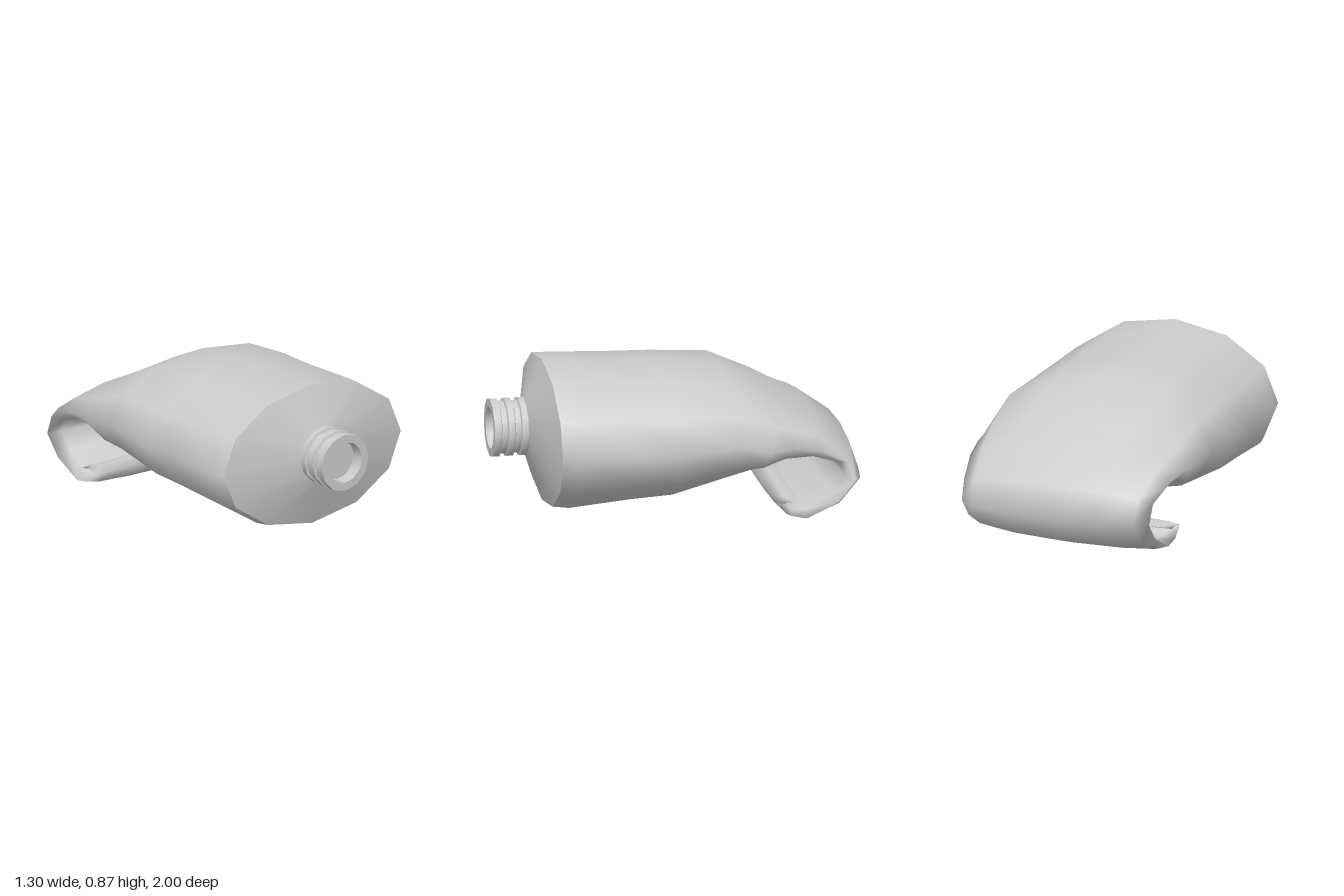
import * as THREE from 'three';
import { toCreasedNormals } from 'three/addons/utils/BufferGeometryUtils.js';

const SIDES = 12;

// Skin a run of oval rings, each [topZ, topY, bottomZ, bottomY, halfWidth]
function skin(rings) {
  const positions = [], index = [];
  rings.forEach(([tz, ty, bz, by, w], i) => {
    for (let j = 0; j < SIDES; j++) {
      const a = (j / SIDES) * Math.PI * 2, s = Math.sin(a);
      positions.push(
        w * Math.cos(a),
        (ty + by) / 2 + ((ty - by) / 2) * s,
        (tz + bz) / 2 + ((tz - bz) / 2) * s
      );
      if (i === rings.length - 1) continue;
      const k = (j + 1) % SIDES;
      const p = i * SIDES + j, q = i * SIDES + k;
      index.push(p, p + SIDES, q, q, p + SIDES, q + SIDES);
    }
  });
  const geometry = new THREE.BufferGeometry();
  geometry.setAttribute('position', new THREE.Float32BufferAttribute(positions, 3));
  geometry.setIndex(index);
  geometry.computeVertexNormals();
  return geometry;
}

export function createModel() {
  const group = new THREE.Group();
  const material = new THREE.MeshStandardMaterial({ color: 0xcccccc, side: THREE.DoubleSide });
  const add = (name, geometry) => {
    const mesh = new THREE.Mesh(geometry, material);
    mesh.name = name;
    group.add(mesh);
    return mesh;
  };

  // Squeezed tube body, flattening towards the back and rolling up underneath
  const front = [0.71, 0.87, 0.71, 0.07, 0.61];
  add('tubeBody', skin([
    front,
    [0.62, 0.865, 0.62, 0.06, 0.63],
    [0.3, 0.845, 0.28, 0.095, 0.64],
    [0.06, 0.835, 0.05, 0.11, 0.645],
    [-0.26, 0.805, -0.25, 0.2, 0.65],
    [-0.51, 0.685, -0.38, 0.245, 0.64],
    [-0.6, 0.625, -0.51, 0.315, 0.62],
    [-0.755, 0.55, -0.67, 0.34, 0.595],
    [-0.94, 0.412, -0.81, 0.315, 0.56],
    [-0.998, 0.235, -0.84, 0.27, 0.555],
    [-0.866, 0.08, -0.785, 0.2, 0.555],
    [-0.66, 0.005, -0.65, 0.105, 0.555],
    [-0.54, 0.05, -0.59, 0.092, 0.555],
    [-0.465, 0.14, -0.53, 0.122, 0.555],
    [-0.54, 0.163, -0.54, 0.135, 0.555],
    [-0.61, 0.145, -0.61, 0.135, 0.555],
    [-0.61, 0.14, -0.61, 0.14, 0.555], // closes the tip
  ]));

  // Cone from the neck out to the body
  add('shoulder', skin([[0.81, 0.642, 0.81, 0.352, 0.145], front]));

  // Ridged neck with a recessed opening
  const ridge = 0.162, groove = 0.147;
  const profile = [
    [groove, 0.8], [ridge, 0.812], [ridge, 0.845], [groove, 0.85], [groove, 0.88],
    [ridge, 0.885], [ridge, 0.92], [groove, 0.925], [groove, 0.955],
    [ridge, 0.96], [ridge, 1], [0.116, 1], [0.113, 0.93], [0, 0.93],
  ].map(([r, z]) => new THREE.Vector2(r, z));
  const neck = new THREE.LatheGeometry(profile, SIDES).rotateX(Math.PI / 2);
  add('neck', toCreasedNormals(neck, Math.PI / 5)).position.y = 0.497;

  return group;
}
